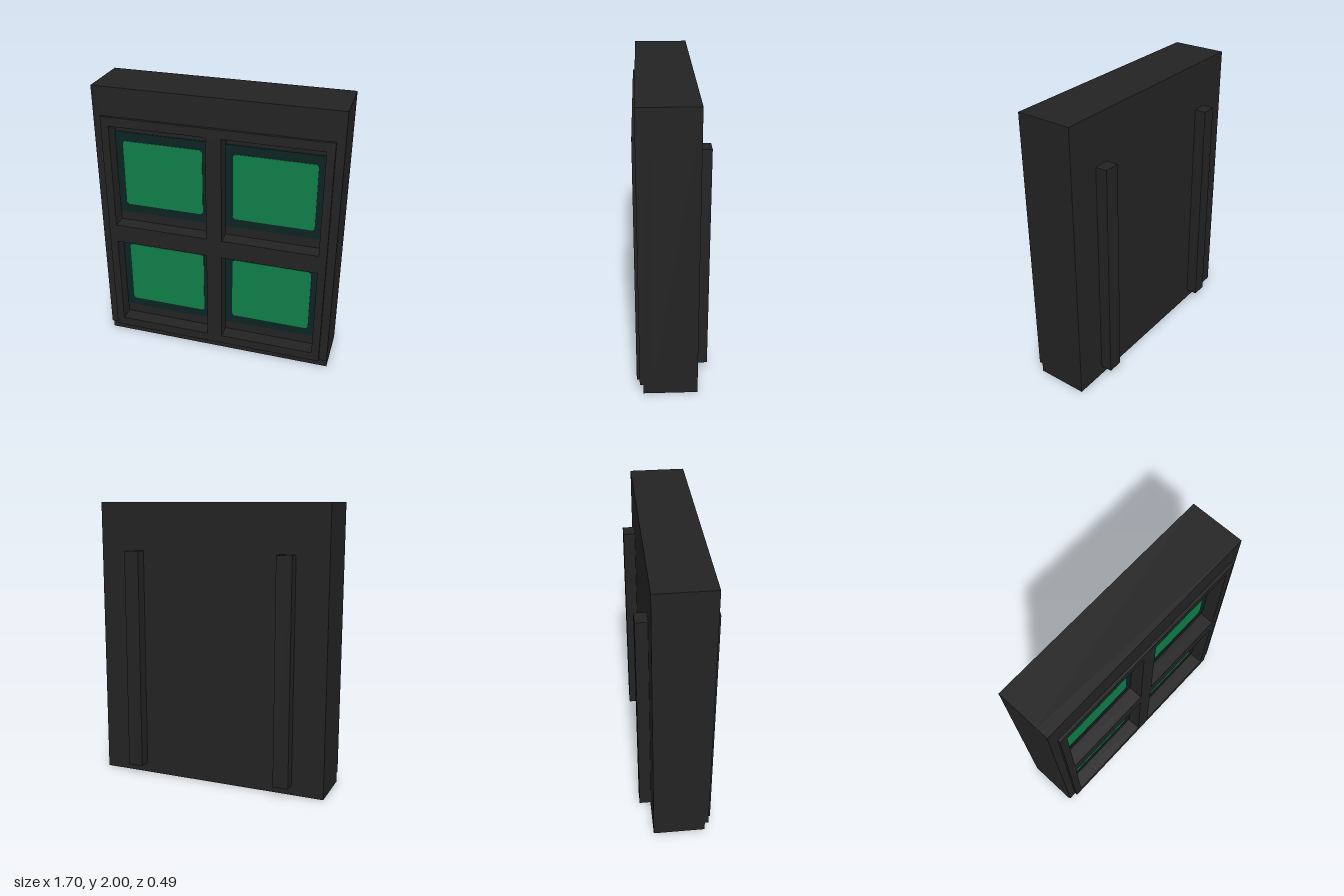
import * as THREE from 'three';

export function createModel() {
  const model = new THREE.Group();
  model.name = 'screenCabinet';

  const casing = new THREE.MeshStandardMaterial({ color: 0x232323 });
  casing.name = 'charcoal casing';
  const bezel = new THREE.MeshStandardMaterial({ color: 0x0c2424 });
  bezel.name = 'dark teal bezel';
  const glow = new THREE.MeshStandardMaterial({ color: 0x0f7f49 });
  glow.name = 'green screen';

  const add = (name, geometry, material) => {
    const mesh = new THREE.Mesh(geometry, material);
    mesh.name = name;
    model.add(mesh);
  };

  // Box given by its limits on each axis
  const box = (name, [x0, x1], [y0, y1], [z0, z1], material) => {
    const g = new THREE.BoxGeometry(x1 - x0, y1 - y0, z1 - z0);
    g.translate((x0 + x1) / 2, (y0 + y1) / 2, (z0 + z1) / 2);
    add(name, g, material);
  };

  const rectangle = (path, x0, x1, y0, y1) => {
    path.moveTo(x0, y0);
    path.lineTo(x1, y0);
    path.lineTo(x1, y1);
    path.lineTo(x0, y1);
    path.closePath();
    return path;
  };

  // Four window openings: columns in x, rows in y
  const columns = [[-0.737, -0.055], [0.055, 0.737]];
  const rows = [
    { opening: [0.137, 0.83], center: 0.52 },
    { opening: [0.967, 1.73], center: 1.348 },
  ];

  // Upright panel pierced by the four openings
  const piercedPanel = (name, halfWidth, y0, y1, z0, z1) => {
    const shape = rectangle(new THREE.Shape(), -halfWidth, halfWidth, y0, y1);
    for (const [x0, x1] of columns) {
      for (const { opening } of rows) {
        shape.holes.push(rectangle(new THREE.Path(), x0, x1, ...opening));
      }
    }
    const g = new THREE.ExtrudeGeometry(shape, { depth: z1 - z0, bevelEnabled: false });
    g.translate(0, 0, z0);
    add(name, g, casing);
  };

  // Casing: plinth, solid back, pierced front and raised frame
  box('plinth', [-0.85, 0.85], [0, 0.07], [-0.163, 0.2], casing);
  box('cabinetBack', [-0.85, 0.85], [0.07, 2], [-0.163, 0.14], casing);
  piercedPanel('cabinetFront', 0.85, 0.07, 2, 0.14, 0.225);
  piercedPanel('frontFrame', 0.793, 0.07, 1.795, 0.225, 0.245);

  // Recessed screens, each a bezel plate with a clipped-corner panel
  const w = 0.287, h = 0.245, c = 0.015;
  const panel = new THREE.Shape([
    [-w + c, -h], [w - c, -h], [w, -h + c], [w, h - c],
    [w - c, h], [-w + c, h], [-w, h - c], [-w, -h + c],
  ].map(([x, y]) => new THREE.Vector2(x, y)));
  for (const [x0, x1] of columns) {
    for (const { center } of rows) {
      box('screenBezel', [x0, x1], [center - 0.31, center + 0.31], [0.14, 0.146], bezel);
      const g = new THREE.ExtrudeGeometry(panel, { depth: 0.004, bevelEnabled: false });
      g.translate((x0 + x1) / 2, center, 0.146);
      add('screenPanel', g, glow);
    }
  }

  // Mounting rails on the back
  for (const side of [-1, 1]) {
    const x = side * 0.567;
    box('rearRail', [x - 0.055, x + 0.055], [0.07, 1.66], [-0.245, -0.163], casing);
  }

  return model;
}
